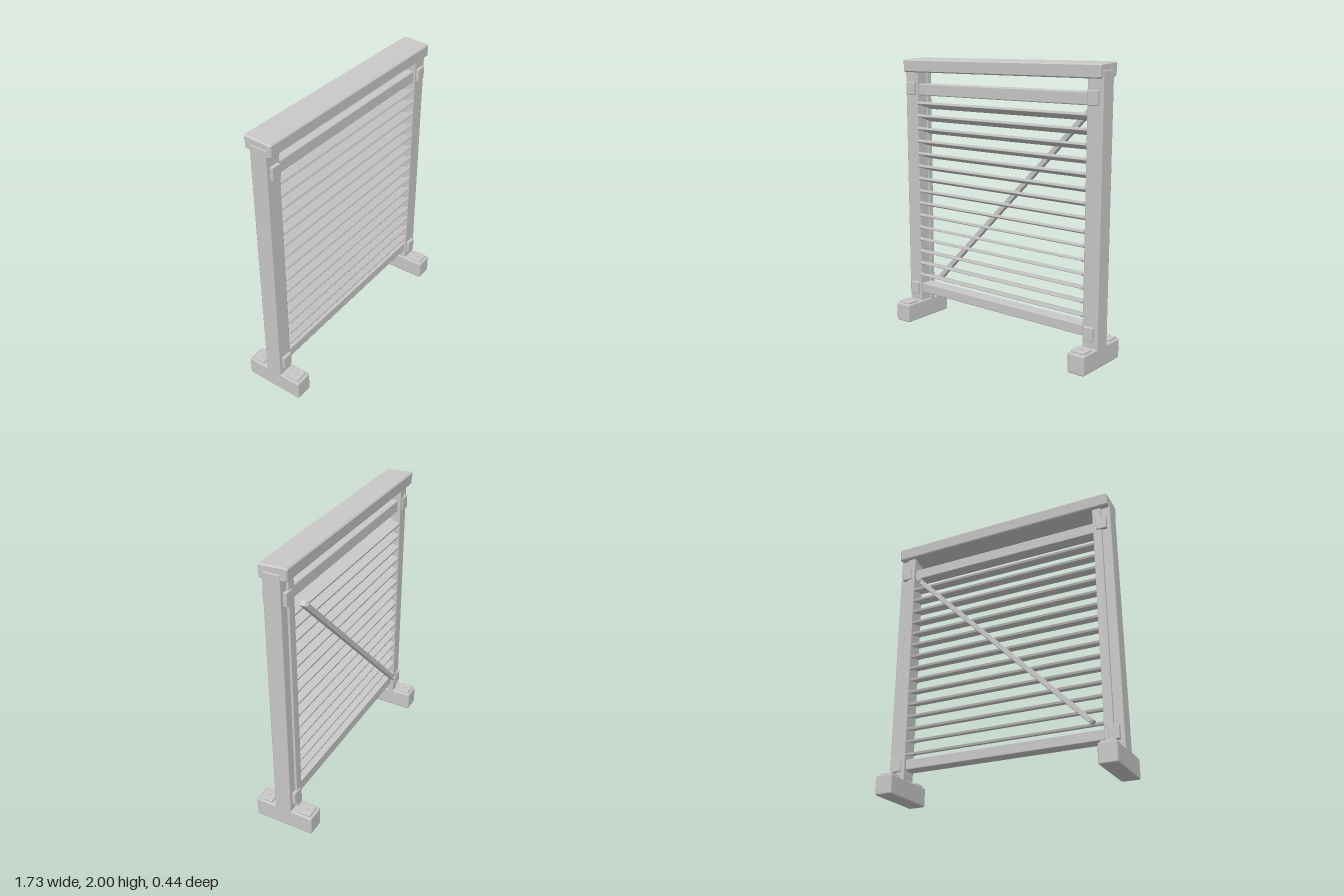
import * as THREE from 'three';
import { RoundedBoxGeometry } from 'three/addons/geometries/RoundedBoxGeometry.js';

export function createModel() {
  const group = new THREE.Group();
  const grey = new THREE.MeshStandardMaterial({ color: 0xc8c8c8 });
  grey.name = 'plain grey';

  const add = (name, geometry, x = 0, y = 0, z = 0, parent = group) => {
    const mesh = new THREE.Mesh(geometry, grey);
    mesh.name = name;
    mesh.position.set(x, y, z);
    parent.add(mesh);
    return mesh;
  };

  // Bar with softened edges, given by its limits on each axis
  const bar = (name, [x0, x1], [y0, y1], [z0, z1], bevel = 0.008, parent = group) =>
    add(name, new RoundedBoxGeometry(x1 - x0, y1 - y0, z1 - z0, 1, bevel),
      (x0 + x1) / 2, (y0 + y1) / 2, (z0 + z1) / 2, parent);

  // Posts, feet and fittings on both sides
  for (const side of [-1, 1]) {
    const span = (a, b) => (side > 0 ? [a, b] : [-b, -a]);
    bar('post', span(0.746, 0.866), [0.12, 1.95], [-0.058, 0.063]);
    bar('innerStop', span(0.736, 0.8), [0.13, 1.93], [-0.073, -0.03], 0.005);
    bar('foot', span(0.735, 0.865), [0, 0.14], [-0.218, 0.218], 0.012);
    for (const end of [-1, 1]) {
      // Raised pad with a small bolt on each end of the foot
      const z = end * 0.15;
      bar('footPad', span(0.748, 0.852), [0.13, 0.156], [z - 0.05, z + 0.05], 0.008);
      add('footBolt', new THREE.CylinderGeometry(0.012, 0.012, 0.008, 10), side * 0.8, 0.158, z);
    }
    // Joint plates on the front and back of the post
    for (const y of [0.238, 1.778]) {
      bar('frontPlate', span(0.762, 0.838), [y - 0.048, y + 0.048], [0.055, 0.084], 0.006);
      bar('backPlate', span(0.762, 0.838), [y - 0.048, y + 0.048], [-0.081, -0.05], 0.006);
    }
  }

  // Rails between the posts
  bar('topRail', [-0.75, 0.75], [1.728, 1.812], [-0.05, 0.05]);
  bar('bottomRail', [-0.75, 0.75], [0.204, 0.28], [-0.05, 0.05]);

  // Cap with a slightly sloping top; shape is drawn as (-z, y)
  const section = new THREE.Shape([
    [-0.085, 1.897], [0.095, 1.907], [0.1, 1.915], [0.106, 1.99],
    [0.098, 2.0], [-0.088, 1.989], [-0.096, 1.98], [-0.094, 1.905],
  ].map(([u, v]) => new THREE.Vector2(u, v)));
  const cap = new THREE.ExtrudeGeometry(section, {
    depth: 1.7, bevelEnabled: true, bevelThickness: 0.01, bevelSize: 0.008,
    bevelOffset: -0.008, bevelSegments: 1,
  });
  cap.translate(0, 0, -0.85).rotateY(Math.PI / 2);
  add('cap', cap);

  // Louvre slats, front edge raised, with a pivot pin at each end
  const tilt = THREE.MathUtils.degToRad(-18);
  for (let i = 0; i < 15; i++) {
    const louvre = new THREE.Group();
    louvre.name = 'louvre';
    louvre.position.set(0, 0.333 + i * 0.0942, 0);
    louvre.rotation.x = tilt;
    bar('slat', [-0.742, 0.742], [-0.01, 0.01], [-0.075, 0.075], 0.004, louvre);
    for (const side of [-1, 1]) {
      const pin = new THREE.CylinderGeometry(0.014, 0.014, 0.025, 10);
      pin.rotateZ(Math.PI / 2);
      add('pivotPin', pin, side * 0.738, 0, 0.055, louvre);
    }
    group.add(louvre);
  }

  // Diagonal brace across the back, bolted at both ends
  const brace = new THREE.Group();
  brace.name = 'brace';
  brace.position.set(0, 1, -0.091);
  brace.rotation.z = Math.atan2(1.36, 1.34);
  bar('braceBar', [-0.965, 0.965], [-0.018, 0.018], [-0.021, 0.021], 0.004, brace);
  for (const end of [-1, 1]) {
    const bolt = new THREE.CylinderGeometry(0.014, 0.014, 0.016, 10);
    bolt.rotateX(Math.PI / 2);
    add('braceBolt', bolt, end * 0.945, 0, -0.026, brace);
  }
  group.add(brace);

  return group;
}
